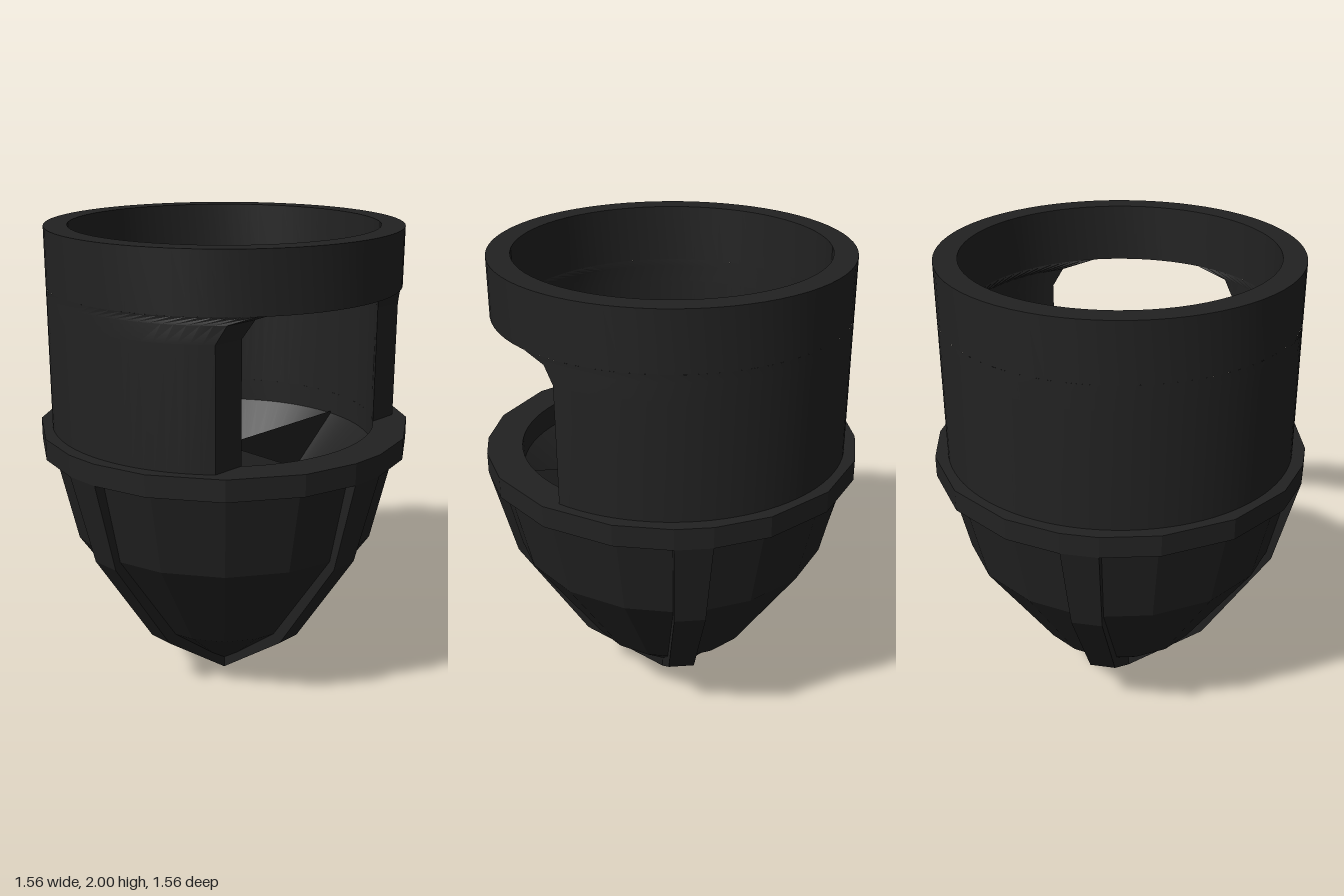
import * as THREE from 'three';
import { toCreasedNormals } from 'three/addons/utils/BufferGeometryUtils.js';

const OUTER = 0.73, INNER = 0.635; // tube radii
const smooth = new THREE.MeshStandardMaterial({ color: 0x222222 });
const flat = new THREE.MeshStandardMaterial({ color: 0x222222, flatShading: true });

// Skins a stack of rings (bottom to top, counter-clockwise seen from above).
function loft(rings, capBottom = false) {
  const n = rings[0].length, index = [];
  for (let r = 0; r < rings.length - 1; r++) {
    for (let i = 0; i < n; i++) {
      const a = r * n + i, b = r * n + (i + 1) % n;
      index.push(a, b, b + n, a, b + n, a + n);
    }
  }
  if (capBottom) for (let i = 1; i < n - 1; i++) index.push(0, i + 1, i);
  const g = new THREE.BufferGeometry();
  g.setAttribute('position', new THREE.Float32BufferAttribute(rings.flat(2), 3));
  g.setIndex(index);
  g.computeVertexNormals();
  return g;
}

const polar = (r, t, y) => [r * Math.sin(t), y, r * Math.cos(t)];

// Tube section at height y with its front cut off at z = cut
function cSection(y, cut, n = 72) {
  const ring = [];
  for (const r of [OUTER, INNER]) {
    const a = Math.acos(cut / r), arc = [];
    for (let i = 0; i <= n; i++) arc.push(polar(r, a + (2 * Math.PI - 2 * a) * i / n, y));
    ring.push(...(r === OUTER ? arc : arc.reverse()));
  }
  return ring;
}

function lathe(points) {
  const g = new THREE.LatheGeometry(points.map(([x, y]) => new THREE.Vector2(x, y)), 72);
  return toCreasedNormals(g, 0.4);
}

export function createModel() {
  const model = new THREE.Group();
  const add = (name, geometry, material) => {
    const mesh = new THREE.Mesh(geometry, material);
    mesh.name = name;
    model.add(mesh);
    return mesh;
  };

  // Tube: a full band above a wall that is open at the front
  add('topBand', lathe([[INNER, 1.76], [OUTER, 1.76], [OUTER, 2], [INNER, 2], [INNER, 1.76]]), smooth);
  const wall = [[1.17, 0.49], [1.66, 0.49], [1.73, 0.52], [1.76, 0.59]].map(([y, cut]) => cSection(y, cut));
  add('windowWall', toCreasedNormals(loft(wall), 0.4), smooth);

  // Stepped bowl inside
  add('innerBowl', lathe([[0, 0.7], [0.145, 0.7], [0.29, 0.85], [0.39, 0.85], [INNER, 1.07], [INNER, 1.17]].reverse()), smooth)
    .material = new THREE.MeshStandardMaterial({ color: 0x222222, side: THREE.DoubleSide });

  // Twenty-sided outline with short sides facing the four ribs
  const angles = [];
  for (let q = 0; q < 4; q++) {
    for (const d of [5.5, 22.6, 45, 67.4, 84.5]) angles.push(THREE.MathUtils.degToRad(q * 90 + d));
  }
  const outline = (r, y) => angles.map(t => polar(r, t, y));

  // Flange
  const shape = new THREE.Shape(angles.map(t => new THREE.Vector2(0.784 * Math.cos(t), 0.784 * Math.sin(t))));
  shape.holes.push(new THREE.Path().absarc(0, 0, INNER, 0, Math.PI * 2, true));
  const flange = new THREE.ExtrudeGeometry(shape, { depth: 0.09, bevelEnabled: false, curveSegments: 36 });
  flange.rotateX(-Math.PI / 2).translate(0, 1.08, 0);
  add('flange', flange, flat);

  // Pointed body with recessed panels
  const body = [[0.02, 0.035], [0.28, 0.36], [0.72, 0.66], [1.08, 0.742]].map(([y, r]) => outline(r, y));
  add('nosePanels', loft(body, true), flat);

  // Four ribs running from the flange to the tip: height, reach, half width
  const rib = loft([[0, 0.05, 0.05], [0.25, 0.39, 0.055], [0.69, 0.68, 0.063], [1.08, 0.78, 0.075]]
    .map(([y, r, w]) => [[-w, y, 0], [-w, y, r], [w, y, r], [w, y, 0]]), true);
  ['front', 'left', 'back', 'right'].forEach((side, i) => {
    add(side + 'Rib', rib, flat).rotation.y = i * Math.PI / 2;
  });

  return model;
}
